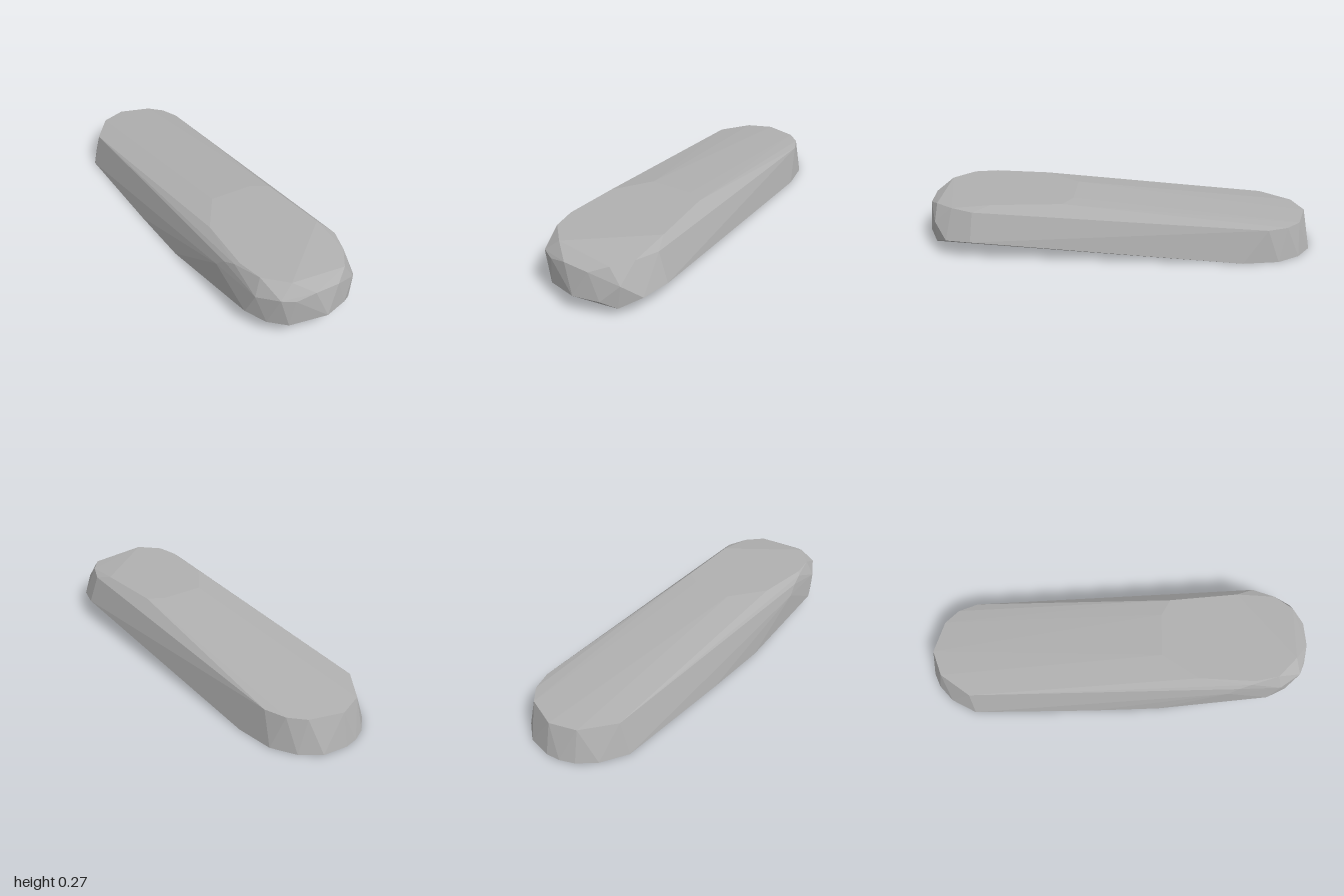
import * as THREE from 'three';
import { ConvexGeometry } from 'three/addons/geometries/ConvexGeometry.js';

const ring = (y, pairs) => pairs.map(([x, z]) => new THREE.Vector3(x, y, z));
const points = (list) => list.map((p) => new THREE.Vector3(...p));

export function createModel() {
  const group = new THREE.Group();
  const grey = new THREE.MeshStandardMaterial({ color: 0xb0b0b0, flatShading: true });
  grey.name = 'plain grey';

  // Flat underside, rounded at the back
  const base = ring(0, [
    [0, -1], [-0.07, -0.99], [-0.14, -0.96], [-0.22, -0.89], [-0.29, -0.765],
    [0.12, -0.98], [0.21, -0.91], [0.275, -0.8], [0.297, -0.62],
    [-0.304, -0.15], [-0.305, 0.2], [-0.03, 0.15], [0.07, 0.05],
  ]);

  // Low rear rim of the sloping top
  const rearRim = ring(0.165, [
    [-0.245, -0.77], [-0.13, -0.92], [0, -0.965], [0.16, -0.91], [0.225, -0.84], [0.26, -0.74],
  ]);

  // High flat area of the top
  const crown = ring(0.271, [
    [-0.23, 0.4], [-0.1, 0.22], [0.12, 0.23], [0.2, 0.28],
    [0.22, 0.63], [-0.14, 0.9], [-0.235, 0.8], [-0.255, 0.68],
  ]);

  // Lower edge of the raised nose
  const noseLower = points([
    [-0.285, 0.073, 0.77], [-0.24, 0.067, 0.87], [-0.17, 0.067, 0.94], [-0.005, 0.092, 1],
    [0.115, 0.085, 0.97], [0.18, 0.05, 0.93], [0.265, 0.095, 0.86], [0.304, 0.105, 0.73],
  ]);

  // Faceted upper edge of the nose and the soft left shoulder
  const noseUpper = points([
    [-0.27, 0.19, 0.82], [-0.21, 0.215, 0.92], [-0.15, 0.205, 0.95], [-0.06, 0.228, 0.97],
    [0.065, 0.218, 0.97], [0.14, 0.243, 0.92], [0.195, 0.165, 0.925], [0.21, 0.248, 0.83],
    [0.255, 0.245, 0.72], [-0.27, 0.258, 0.66], [-0.283, 0.235, 0.6], [-0.293, 0.19, 0.55],
  ]);

  const body = new THREE.Mesh(
    new ConvexGeometry([...base, ...rearRim, ...crown, ...noseLower, ...noseUpper]), grey);
  body.name = 'body';
  group.add(body);
  return group;
}
